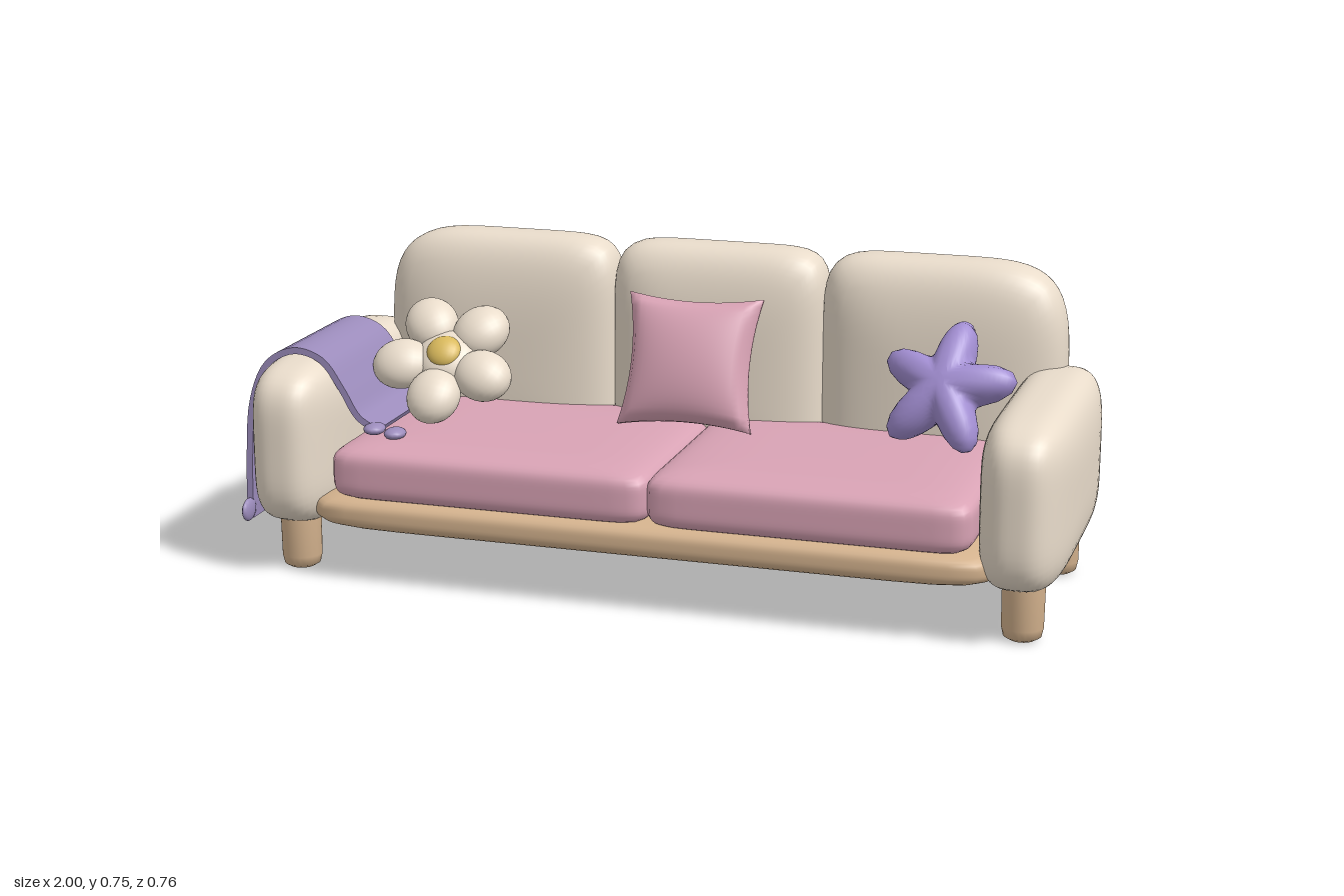
import * as THREE from 'three';
import { mergeVertices, toCreasedNormals } from 'three/addons/utils/BufferGeometryUtils.js';

const mat = (color) => new THREE.MeshStandardMaterial({ color, roughness: 0.8 });
const CREAM = mat(0xe9dccb), PINK = mat(0xd9a3b5), PURPLE = mat(0xa28ed2);
const LILAC = mat(0x9c8cbc), WOOD = mat(0xd6b48f), YELLOW = mat(0xd9b95c);

function part(name, geometry, material, x = 0, y = 0, z = 0) {
  const mesh = new THREE.Mesh(geometry, material);
  mesh.name = name;
  mesh.position.set(x, y, z);
  return mesh;
}

// Move every vertex by a rule, then weld and smooth
function reshape(geometry, rule) {
  geometry.deleteAttribute('uv');
  geometry.deleteAttribute('normal');
  const pos = geometry.attributes.position, v = new THREE.Vector3();
  for (let i = 0; i < pos.count; i++) {
    rule(v.fromBufferAttribute(pos, i));
    pos.setXYZ(i, v.x, v.y, v.z);
  }
  const out = mergeVertices(geometry, 1e-5);
  out.computeVertexNormals();
  return out;
}

// Stuffed block between min and max. n squares the outline seen along
// the axis (nNeg / nPos for the two x sides), m squares the thickness.
function cushion(name, material, min, max, axis, m, nNeg, nPos = nNeg) {
  const half = min.map((a, i) => (max[i] - a) / 2);
  const mid = min.map((a, i) => (max[i] + a) / 2);
  const geo = reshape(new THREE.BoxGeometry(2, 2, 2, 18, 18, 18), (v) => {
    const a = v.toArray();
    const n = a[0] < 0 ? nNeg : nPos;
    const others = [0, 1, 2].filter((i) => i !== axis);
    const ring = Math.pow(others.reduce((s, i) => s + Math.abs(a[i]) ** n, 0), 1 / n);
    const r = Math.pow(ring ** m + Math.abs(a[axis]) ** m, 1 / m);
    v.set(a[0] * half[0] / r, a[1] * half[1] / r, a[2] * half[2] / r);
  });
  return part(name, geo, material, ...mid);
}

function makeLegs(group) {
  const profile = [[0, 0], [0.03, 0], [0.043, 0.008], [0.048, 0.03], [0.05, 0.2], [0, 0.2]]
    .map(([r, y]) => new THREE.Vector2(r, y));
  const geo = toCreasedNormals(new THREE.LatheGeometry(profile, 20), 0.9);
  for (const x of [-0.85, 0.9])
    for (const z of [0.255, -0.235]) group.add(part('leg', geo, WOOD, x, 0, z));
}

// Square pillow with thin seams and drawn-out corners
function makePillow() {
  const geo = reshape(new THREE.BoxGeometry(2, 2, 2, 20, 20, 2), (v) => {
    const { x, y, z } = v;
    const puff = Math.pow(Math.max(0, (1 - x * x) * (1 - y * y)), 0.45);
    v.set(0.165 * x * (1 - 0.12 * (1 - y * y)), 0.16 * y * (1 - 0.1 * (1 - x * x)), z * (0.008 + 0.062 * puff));
  });
  const pillow = part('squarePillow', geo, PINK, 0.028, 0.49, -0.07);
  pillow.rotation.x = -0.35;
  return pillow;
}

// Plump five-pointed pillow
function makeStar() {
  const geo = reshape(new THREE.SphereGeometry(1, 60, 24), (v) => {
    const angle = Math.atan2(v.y, v.x);
    const r = 0.128 + 0.042 * Math.cos(5 * (angle - 1.4));
    v.set(v.x * r, v.y * r, v.z * 0.068);
  });
  const star = part('starPillow', geo, PURPLE, 0.65, 0.475, -0.06);
  star.rotation.set(-0.62, -0.15, 0);
  return star;
}

// Flower pillow: five petals around a button
function makeFlower() {
  const flower = new THREE.Group();
  flower.name = 'flowerPillow';
  const ball = new THREE.SphereGeometry(1, 24, 16);
  for (let i = 0; i < 5; i++) {
    const a = THREE.MathUtils.degToRad(52 + i * 72);
    const petal = part('petal', ball, CREAM, 0.108 * Math.cos(a), 0.108 * Math.sin(a), 0);
    petal.scale.set(0.073, 0.065, 0.05);
    petal.rotation.z = a;
    flower.add(petal);
  }
  const core = part('flowerCore', ball, CREAM);
  core.scale.set(0.075, 0.075, 0.042);
  const button = part('flowerButton', ball, YELLOW, 0, 0, 0.028);
  button.scale.set(0.043, 0.043, 0.026);
  flower.add(core, button);
  flower.position.set(-0.565, 0.475, 0.01);
  flower.rotation.set(-0.8, 0.08, 0);
  return flower;
}

// Throw draped over the right arm, with small bobbles at its ends
function makeThrow() {
  const group = new THREE.Group();
  group.name = 'throw';
  const path = new THREE.CatmullRomCurve3([
    [-0.992, 0.1], [-0.988, 0.25], [-0.972, 0.4], [-0.93, 0.49], [-0.86, 0.526],
    [-0.79, 0.507], [-0.74, 0.44], [-0.7, 0.375], [-0.65, 0.345],
  ].map(([x, y]) => new THREE.Vector3(x, y, 0)));
  const upper = [], lower = [];
  for (let i = 0; i <= 40; i++) {
    const p = path.getPoint(i / 40), t = path.getTangent(i / 40);
    upper.push(new THREE.Vector2(p.x - t.y * 0.008, p.y + t.x * 0.008));
    lower.unshift(new THREE.Vector2(p.x + t.y * 0.008, p.y - t.x * 0.008));
  }
  const cloth = new THREE.ExtrudeGeometry(new THREE.Shape([...upper, ...lower]), { depth: 0.35, bevelEnabled: false });
  group.add(part('throwCloth', toCreasedNormals(cloth, 0.7), LILAC, 0, 0, -0.11));
  const ball = new THREE.SphereGeometry(1, 14, 10);
  const ends = [[-0.66, 0.35, 0.235], [-0.605, 0.345, 0.242], [-0.988, 0.125, 0.255], [-0.988, 0.125, -0.135]];
  for (const [x, y, z] of ends) {
    const bobble = part('bobble', ball, LILAC, x, y, z);
    bobble.scale.set(x < -0.9 ? 0.011 : 0.026, x < -0.9 ? 0.028 : 0.014, 0.032);
    group.add(bobble);
  }
  return group;
}

export function createModel() {
  const sofa = new THREE.Group();
  sofa.name = 'sofa';

  // Frame and legs
  sofa.add(cushion('baseFrame', WOOD, [-0.79, 0.112, -0.34], [0.85, 0.225, 0.362], 1, 3.5, 14));
  makeLegs(sofa);

  // Arms
  sofa.add(cushion('rightArm', CREAM, [-0.96, 0.11, -0.36], [-0.742, 0.51, 0.378], 0, 3.2, 5));
  sofa.add(cushion('leftArm', CREAM, [0.785, 0.11, -0.36], [1, 0.51, 0.378], 0, 3.2, 5));

  // Back cushions, rounder on the outer corners
  sofa.add(cushion('backCushionRight', CREAM, [-0.805, 0.11, -0.378], [-0.205, 0.745, -0.15], 2, 3, 4.2, 7));
  sofa.add(cushion('backCushionMiddle', CREAM, [-0.217, 0.11, -0.378], [0.322, 0.745, -0.15], 2, 3, 7));
  sofa.add(cushion('backCushionLeft', CREAM, [0.31, 0.11, -0.378], [0.9, 0.745, -0.15], 2, 3, 7, 4.2));

  // Seat cushions
  sofa.add(cushion('seatCushionRight', PINK, [-0.735, 0.19, -0.25], [0.05, 0.338, 0.355], 1, 5, 16));
  sofa.add(cushion('seatCushionLeft', PINK, [0.04, 0.19, -0.25], [0.795, 0.338, 0.355], 1, 5, 16));

  // Pillows and throw
  sofa.add(makePillow(), makeStar(), makeFlower(), makeThrow());
  return sofa;
}
